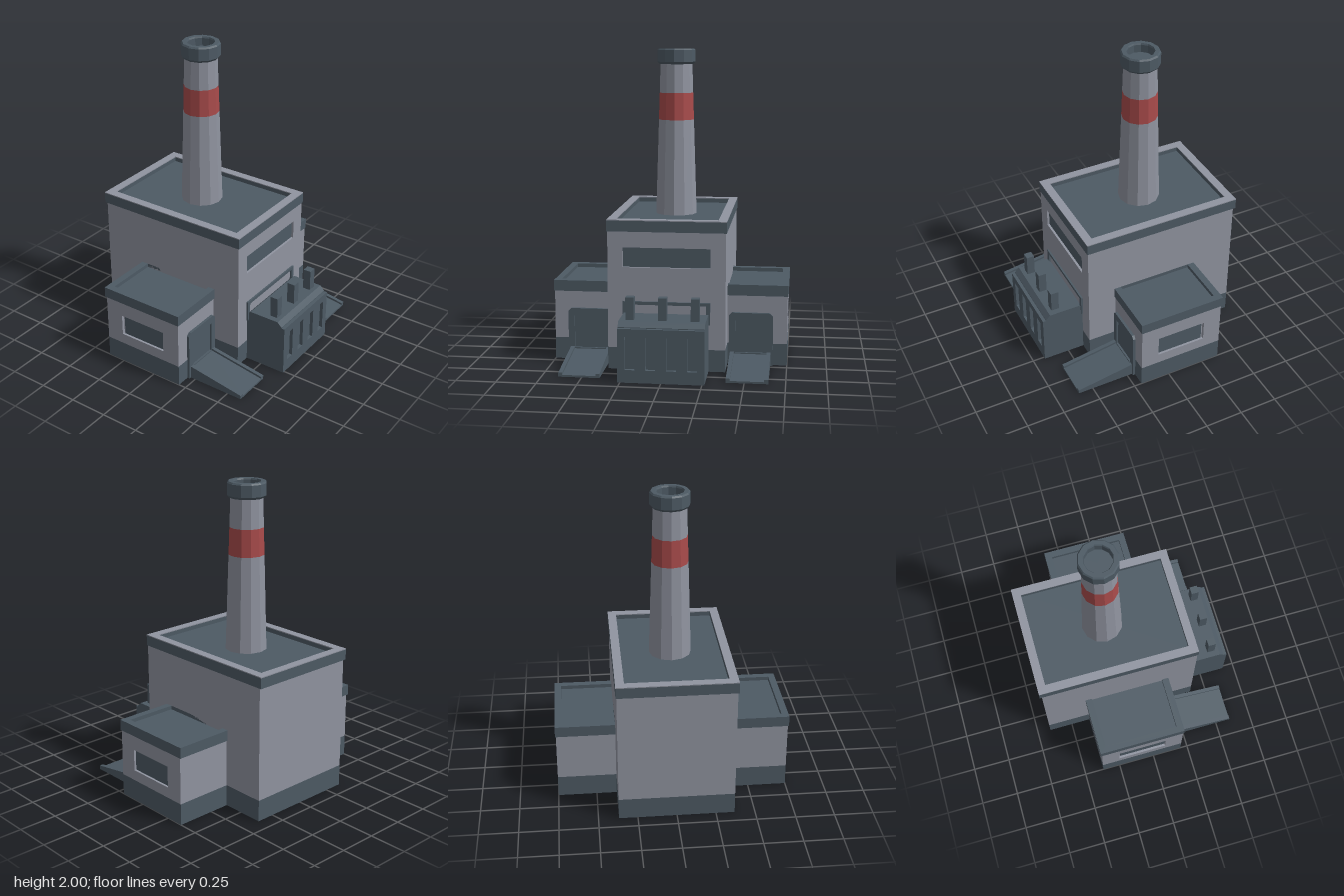
import * as THREE from 'three';

const flat = (name, color) => {
  const m = new THREE.MeshStandardMaterial({ color });
  m.name = name;
  return m;
};

export function createModel() {
  const wallGrey = flat('wall grey', 0x9094a0);
  const slate = flat('slate', 0x4d5a64);
  const red = flat('stripe red', 0xa94b4b);
  const model = new THREE.Group();

  const add = (name, geo, mat, x = 0, y = 0, z = 0) => {
    const m = new THREE.Mesh(geo, mat);
    m.name = name;
    m.position.set(x, y, z);
    model.add(m);
    return m;
  };
  // box given by its minimum and maximum corners
  const box = (name, mat, x0, x1, y0, y1, z0, z1) =>
    add(name, new THREE.BoxGeometry(x1 - x0, y1 - y0, z1 - z0), mat, (x0 + x1) / 2, (y0 + y1) / 2, (z0 + z1) / 2);
  const polygon = (pts) => pts.map(([x, y]) => new THREE.Vector2(x, y));
  const rect = (x0, x1, y0, y1) => polygon([[x0, y0], [x1, y0], [x1, y1], [x0, y1]]);
  const extrude = (outline, holes, depth) => {
    const shape = new THREE.Shape(outline);
    holes.forEach((h) => shape.holes.push(new THREE.Path(h)));
    return new THREE.ExtrudeGeometry(shape, { depth, bevelEnabled: false });
  };
  // flat rectangular ring lying on the ground plane, rising by h
  const ring = (w, d, border, h) => {
    const a = w / 2, b = d / 2;
    return extrude(rect(-a, a, -b, b), [rect(border - a, a - border, border - b, b - border)], h).rotateX(-Math.PI / 2);
  };

  // main hall with a recessed front window
  box('hallBase', slate, -0.37, 0.37, 0, 0.14, -0.66, 0.39);
  box('hallBody', wallGrey, -0.37, 0.37, 0.14, 0.88, -0.66, 0.37);
  add('hallFrontWall', extrude(rect(-0.37, 0.37, 0.14, 0.88), [rect(-0.275, 0.275, 0.655, 0.78)], 0.02), wallGrey, 0, 0, 0.37);
  box('hallWindow', slate, -0.275, 0.275, 0.655, 0.78, 0.37, 0.375);
  box('hallRoof', slate, -0.36, 0.36, 0.88, 0.92, -0.65, 0.38);
  add('hallParapet', ring(0.75, 1.07, 0.055, 0.068), slate, 0, 0.88, -0.14);
  add('hallParapetCap', ring(0.75, 1.07, 0.055, 0.006), wallGrey, 0, 0.948, -0.14);
  // slim frame on the wall behind the generator
  add('intakeFrame', extrude(rect(-0.275, 0.275, 0.3, 0.44), [rect(-0.25, 0.25, 0.31, 0.42)], 0.012), slate, 0, 0, 0.39);

  // chimney, tapering from base to collar
  const chimneyZ = -0.155;
  const radius = (y) => 0.135 - (y - 0.92) * 0.031;
  const drum = (name, mat, y0, y1) => {
    const geo = new THREE.CylinderGeometry(radius(y1), radius(y0), y1 - y0, 12, 1, true).toNonIndexed();
    geo.computeVertexNormals();
    add(name, geo, mat, 0, (y0 + y1) / 2, chimneyZ);
  };
  drum('chimneyLower', wallGrey, 0.92, 1.54);
  drum('chimneyStripe', red, 1.54, 1.715);
  drum('chimneyUpper', wallGrey, 1.715, 1.92);
  const collar = new THREE.LatheGeometry(
    polygon([[0.1, 1.9], [0.112, 1.9], [0.125, 1.915], [0.125, 1.99], [0.117, 2], [0.09, 2], [0.085, 1.99], [0.085, 1.94], [0, 1.94]]), 12
  ).toNonIndexed();
  collar.computeVertexNormals();
  add('chimneyCollar', collar, slate, 0, 0, chimneyZ);

  // side wings, each with a window, doorway and loading ramp
  for (const [side, s] of [['left', 1], ['right', -1]]) {
    const wing = (name, mat, x0, x1, ...rest) =>
      box(side + name, mat, Math.min(s * x0, s * x1), Math.max(s * x0, s * x1), ...rest);
    wing('WingBase', slate, 0.36, 0.75, 0, 0.14, -0.37, 0.2);
    wing('WingBody', wallGrey, 0.36, 0.73, 0.14, 0.45, -0.37, 0.2);
    const sideWall = extrude(rect(-0.285, 0.285, 0.14, 0.45), [rect(-0.165, 0.165, 0.21, 0.35)], 0.02);
    add(side + 'WingSideWall', sideWall.rotateY(s * Math.PI / 2), wallGrey, s * 0.73, 0, -0.085);
    wing('WingWindow', slate, 0.73, 0.735, 0.21, 0.35, -0.24, 0.09);
    wing('WingRoof', slate, 0.36, 0.745, 0.45, 0.495, -0.36, 0.19);
    add(side + 'WingParapet', ring(0.43, 0.585, 0.045, 0.07), slate, s * 0.54, 0.45, -0.0875);

    // door surround with clipped top corners
    const surround = polygon([[-0.14, 0], [0.14, 0], [0.14, 0.32], [0.12, 0.34], [-0.12, 0.34], [-0.14, 0.32]]);
    add(side + 'DoorFrame', extrude(surround, [rect(-0.1, 0.1, 0.08, 0.29)], 0.022), slate, s * 0.52, 0, 0.195);
    wing('Door', slate, 0.42, 0.62, 0.08, 0.29, 0.2, 0.204);

    // sloping ramp bed between two low kerbs, extruded across x
    const slope = (width, lift) =>
      extrude(polygon([[-0.6, 0], [-0.2, 0], [-0.2, 0.075 + lift], [-0.6, 0.012 + lift]]), [], width)
        .translate(0, 0, -width / 2).rotateY(Math.PI / 2);
    add(side + 'Ramp', slope(0.21, 0), slate, s * 0.517, 0, 0);
    for (const k of [-1, 1]) add(side + 'RampKerb', slope(0.025, 0.014), slate, s * 0.517 + k * 0.1165, 0, 0);
  }

  // generator with chamfered top, slotted front and three posts
  const profile = polygon([[-0.65, 0], [-0.39, 0], [-0.39, 0.345], [-0.415, 0.37], [-0.62, 0.37], [-0.65, 0.34]]);
  add('generatorBody', extrude(profile, [], 0.53).translate(0, 0, -0.265).rotateY(Math.PI / 2), slate);
  const slots = [-0.19, -0.063, 0.063, 0.19].map((x) => rect(x - 0.03, x + 0.03, 0.08, 0.285));
  add('generatorGrille', extrude(rect(-0.265, 0.265, 0, 0.335), slots, 0.022), slate, 0, 0, 0.65);
  for (const x of [-0.2, 0, 0.2]) box('generatorPost', slate, x - 0.026, x + 0.026, 0.36, 0.51, 0.54, 0.592);

  return model;
}
